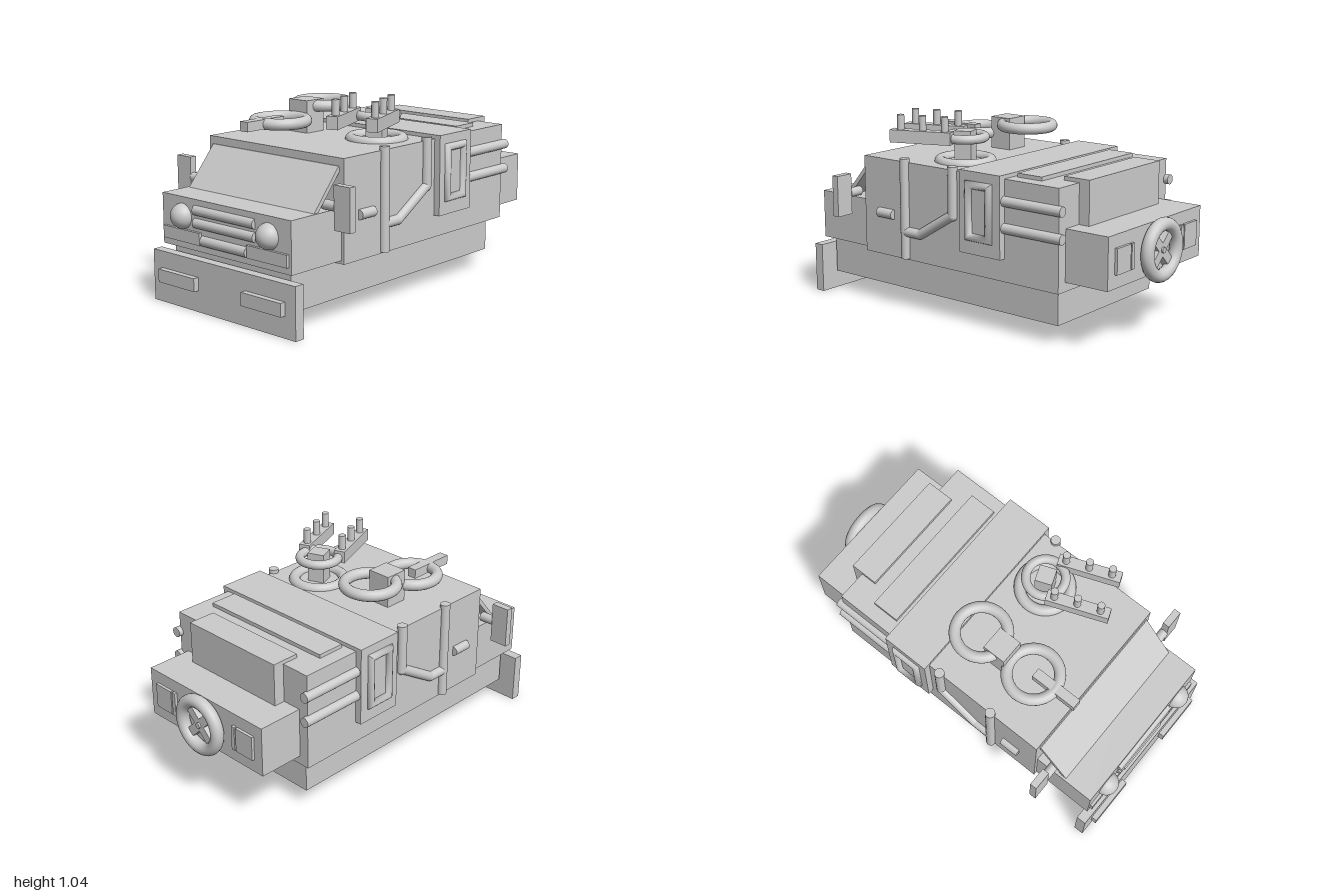
import * as THREE from 'three';

const mat = new THREE.MeshStandardMaterial({ color: 0xcccccc });

export function createModel() {
  const model = new THREE.Group();
  model.name = 'armouredTruck';

  const add = (name, geo, parent = model) => {
    const mesh = new THREE.Mesh(geo, mat);
    mesh.name = name;
    parent.add(mesh);
    return mesh;
  };
  // Box from its minimum and maximum on each axis
  const box = (name, x0, x1, y0, y1, z0, z1, parent) => {
    const m = add(name, new THREE.BoxGeometry(x1 - x0, y1 - y0, z1 - z0), parent);
    m.position.set((x0 + x1) / 2, (y0 + y1) / 2, (z0 + z1) / 2);
    return m;
  };
  // Round bar between two points
  const bar = (name, a, b, r = 0.026, parent) => {
    const p = new THREE.Vector3(...a), q = new THREE.Vector3(...b);
    const d = q.clone().sub(p);
    const m = add(name, new THREE.CylinderGeometry(r, r, d.length(), 20), parent);
    m.position.copy(p).add(q).multiplyScalar(0.5);
    m.quaternion.setFromUnitVectors(new THREE.Vector3(0, 1, 0), d.normalize());
    return m;
  };
  // Ring lying flat
  const ring = (name, x, y, z, R = 0.133, t = 0.03, parent) => {
    const m = add(name, new THREE.TorusGeometry(R, t, 16, 40), parent);
    m.rotation.x = Math.PI / 2;
    m.position.set(x, y, z);
    return m;
  };

  // Hull
  box('chassis', -0.404, 0.404, 0.1, 0.29, -0.64, 0.895);
  box('cabin', -0.465, 0.465, 0.283, 0.8, -0.685, 0.595);
  box('midSection', -0.5, 0.5, 0.4, 0.82, -0.355, -0.095);
  box('hood', -0.447, 0.447, 0.3, 0.56, 0.58, 0.935);
  box('rearTrunk', -0.41, 0.41, 0.33, 0.595, -0.93, -0.67);
  box('rearUpperBox', -0.305, 0.305, 0.58, 0.82, -0.745, -0.595);
  box('roofStrip', -0.39, 0.39, 0.79, 0.82, -0.525, -0.376);

  // Sloping windshield slab
  const slab = new THREE.Shape([[-0.77, 0.56], [-0.742, 0.56], [-0.59, 0.737], [-0.59, 0.76], [-0.6, 0.76]]
    .map(([x, y]) => new THREE.Vector2(x, y)));
  const glass = add('windshield', new THREE.ExtrudeGeometry(slab, { depth: 0.87, bevelEnabled: false }));
  glass.rotation.y = Math.PI / 2;
  glass.position.x = -0.435;

  // Front end
  box('bumperPlate', -0.497, 0.497, 0, 0.265, 0.91, 0.963);
  bar('grilleBar', [-0.21, 0.505, 0.93], [0.21, 0.505, 0.93]);
  bar('grilleBar', [-0.21, 0.44, 0.93], [0.21, 0.44, 0.93]);
  bar('lowerGrilleBar', [-0.157, 0.358, 0.93], [0.157, 0.358, 0.93], 0.027);

  // Window frame: four mitred bars, stretched upright
  const frame = new THREE.TorusGeometry(0.092, 0.03, 14, 4);
  frame.rotateZ(Math.PI / 4);
  const fp = frame.attributes.position;
  for (let i = 0; i < fp.count; i++) fp.setY(i, fp.getY(i) + Math.sign(fp.getY(i)) * 0.067);
  frame.computeVertexNormals();
  frame.rotateY(Math.PI / 2);

  for (const s of [-1, 1]) {
    const pair = (name, x0, x1, ...rest) => box(name, Math.min(s * x0, s * x1), Math.max(s * x0, s * x1), ...rest);
    const x = s * 0.468;

    // Lamps
    pair('bumperLamp', 0.165, 0.43, 0.11, 0.178, 0.95, 0.993);
    pair('frontPanel', 0.165, 0.43, 0.335, 0.398, 0.92, 0.95);
    add('headlight', new THREE.SphereGeometry(0.065, 32, 20)).position.set(s * 0.3, 0.462, 0.932);

    // Mirrors
    pair('mirror', 0.498, 0.598, 0.478, 0.697, 0.665, 0.703);
    bar('mirrorArm', [s * 0.42, 0.59, 0.684], [s * 0.5, 0.59, 0.684], 0.025);

    // Side pipes and handle
    bar('sidePost', [x, 0.29, 0.303], [x, 0.82, 0.303]);
    bar('sidePipe', [x, 0.433, 0.303], [x, 0.433, 0.2]);
    bar('sidePipe', [x, 0.433, 0.2], [x, 0.57, -0.025]);
    bar('sidePipe', [x, 0.56, -0.025], [x, 0.82, -0.025]);
    for (const [y, z] of [[0.433, 0.2], [0.565, -0.025]])
      add('pipeElbow', new THREE.SphereGeometry(0.026, 16, 12)).position.set(x, y, z);
    bar('doorHandle', [x, 0.51, 0.385], [x, 0.51, 0.49]);
    for (const y of [0.555, 0.69]) bar('rearSideBar', [x, y, -0.34], [x, y, -0.71]);

    add('windowFrame', frame).position.set(s * 0.493, 0.62, -0.222);

    // Rear hatches with hinge strips
    pair('rearHatch', 0.24, 0.355, 0.4, 0.53, -0.945, -0.92);
    pair('hatchHinge', 0.21, 0.232, 0.4, 0.53, -0.945, -0.92);
  }

  // Spare wheel on the back
  const wheel = new THREE.Group();
  wheel.name = 'spareWheel';
  wheel.position.set(0, 0.453, -0.965);
  model.add(wheel);
  add('tyre', new THREE.TorusGeometry(0.129, 0.034, 16, 40), wheel);
  for (const a of [Math.PI / 4, -Math.PI / 4])
    box('wheelSpoke', -0.125, 0.125, -0.024, 0.024, -0.005, 0.036, wheel).rotation.z = a;
  bar('wheelHub', [0, 0, 0.03], [0, 0, -0.015], 0.015, wheel);

  // Left-hand roof mount with two rings
  ring('rearRoofRing', -0.198, 0.935, 0.027);
  ring('frontRoofRing', -0.191, 0.878, 0.353);
  box('ringMount', -0.26, -0.13, 0.79, 0.97, 0.093, 0.22);
  box('ringHandle', -0.21, -0.158, 0.855, 0.905, 0.36, 0.62);

  // Turret with two pin rails, turned to one side
  const turret = new THREE.Group();
  turret.name = 'turret';
  turret.position.set(0.235, 0, 0.09);
  turret.rotation.y = 0.37;
  model.add(turret);
  ring('turretBase', 0, 0.8, 0, 0.131, 0.03, turret);
  ring('turretRing', 0, 0.925, 0, 0.101, 0.024, turret);
  box('turretPost', -0.045, 0.045, 0.79, 0.96, -0.045, 0.045, turret);
  for (const x of [-0.102, 0.102]) {
    box('turretRail', x - 0.03, x + 0.03, 0.897, 0.963, 0.035, 0.365, turret);
    for (const z of [0.075, 0.195, 0.315])
      bar('railPin', [x, 0.95, z], [x, 1.04, z], 0.019, turret);
  }

  return model;
}
